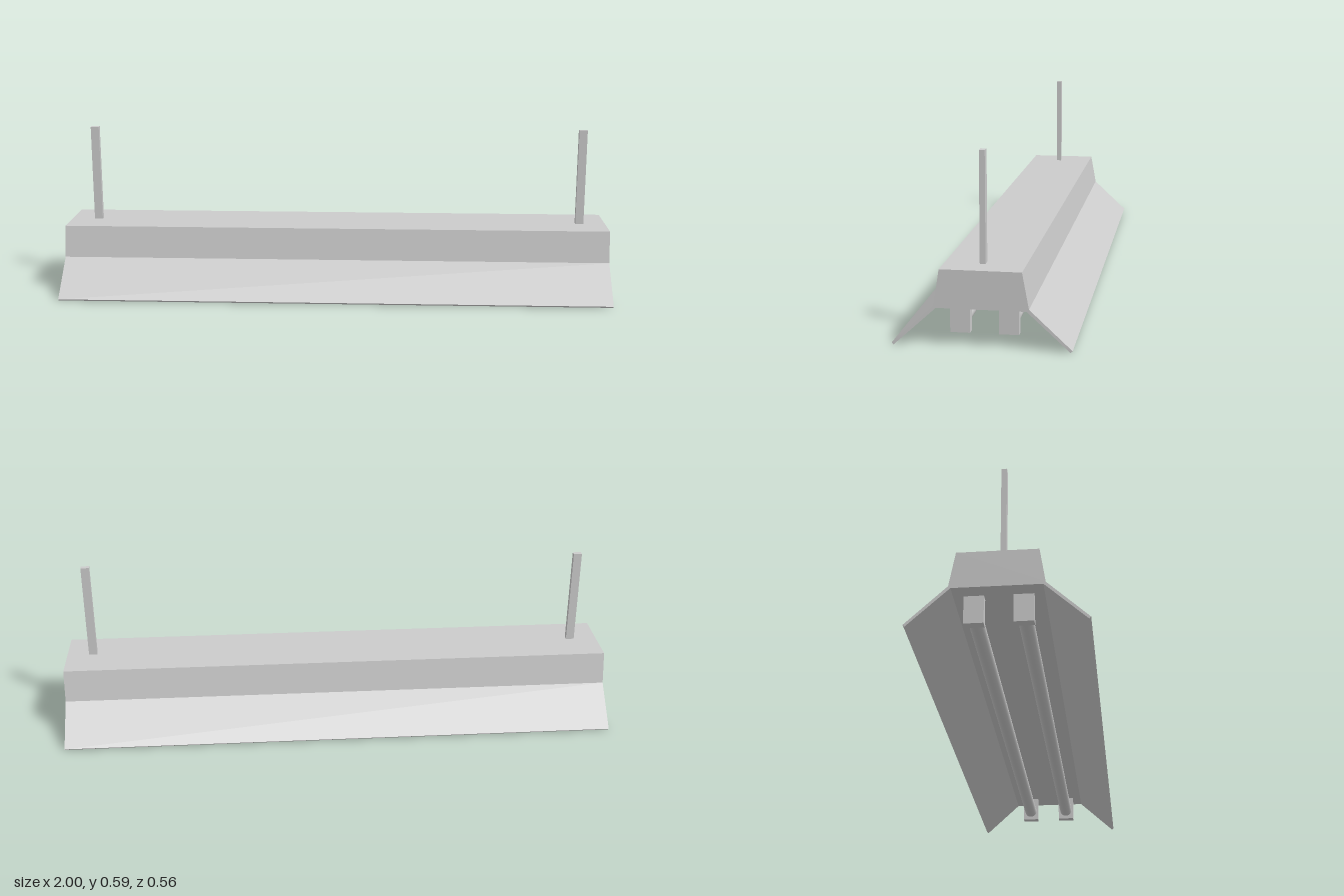
import * as THREE from 'three';

const material = new THREE.MeshStandardMaterial({ color: 0xcccccc, flatShading: true });
const smooth = new THREE.MeshStandardMaterial({ color: 0xcccccc });

// Extrudes a (z, y) cross-section along the full length in x
function profile(name, points, length = 2) {
  const shape = new THREE.Shape(points.map(([z, y]) => new THREE.Vector2(z, y)));
  const geometry = new THREE.ExtrudeGeometry(shape, { depth: length, bevelEnabled: false });
  geometry.translate(0, 0, -length / 2).rotateY(-Math.PI / 2);
  const mesh = new THREE.Mesh(geometry, material);
  mesh.name = name;
  return mesh;
}

function box(name, size, position) {
  const mesh = new THREE.Mesh(new THREE.BoxGeometry(...size), material);
  mesh.position.set(...position);
  mesh.name = name;
  return mesh;
}

export function createModel() {
  const group = new THREE.Group();
  group.name = 'hangingTubeLight';

  // Tapered housing
  group.add(profile('housing', [
    [-0.14, 0.122], [0.14, 0.122], [0.146, 0.129],
    [0.128, 0.243], [-0.125, 0.243], [-0.146, 0.129],
  ]));

  for (const side of [1, -1]) {
    const label = side > 0 ? 'front' : 'back';

    // Sloping reflector wing
    group.add(profile(label + 'Reflector', [
      [side * 0.139, 0.122], [side * 0.272, 0], [side * 0.278, 0.006], [side * 0.146, 0.129],
    ]));

    // Fluorescent tube between two sockets
    const z = side * 0.076;
    const tube = new THREE.Mesh(new THREE.CylinderGeometry(0.024, 0.024, 1.84, 24), smooth);
    tube.rotation.z = Math.PI / 2;
    tube.position.set(0, 0.066, z);
    tube.name = label + 'Tube';
    group.add(tube);
    for (const end of [1, -1]) {
      group.add(box(label + (end > 0 ? 'Left' : 'Right') + 'Socket',
        [0.03, 0.092, 0.062], [end * 0.93, 0.076, z]));
    }
  }

  // Hanger rods
  for (const end of [1, -1]) {
    group.add(box(end > 0 ? 'leftHanger' : 'rightHanger',
      [0.03, 0.355, 0.018], [end > 0 ? 0.905 : -0.9, 0.4175, 0.009]));
  }
  return group;
}
